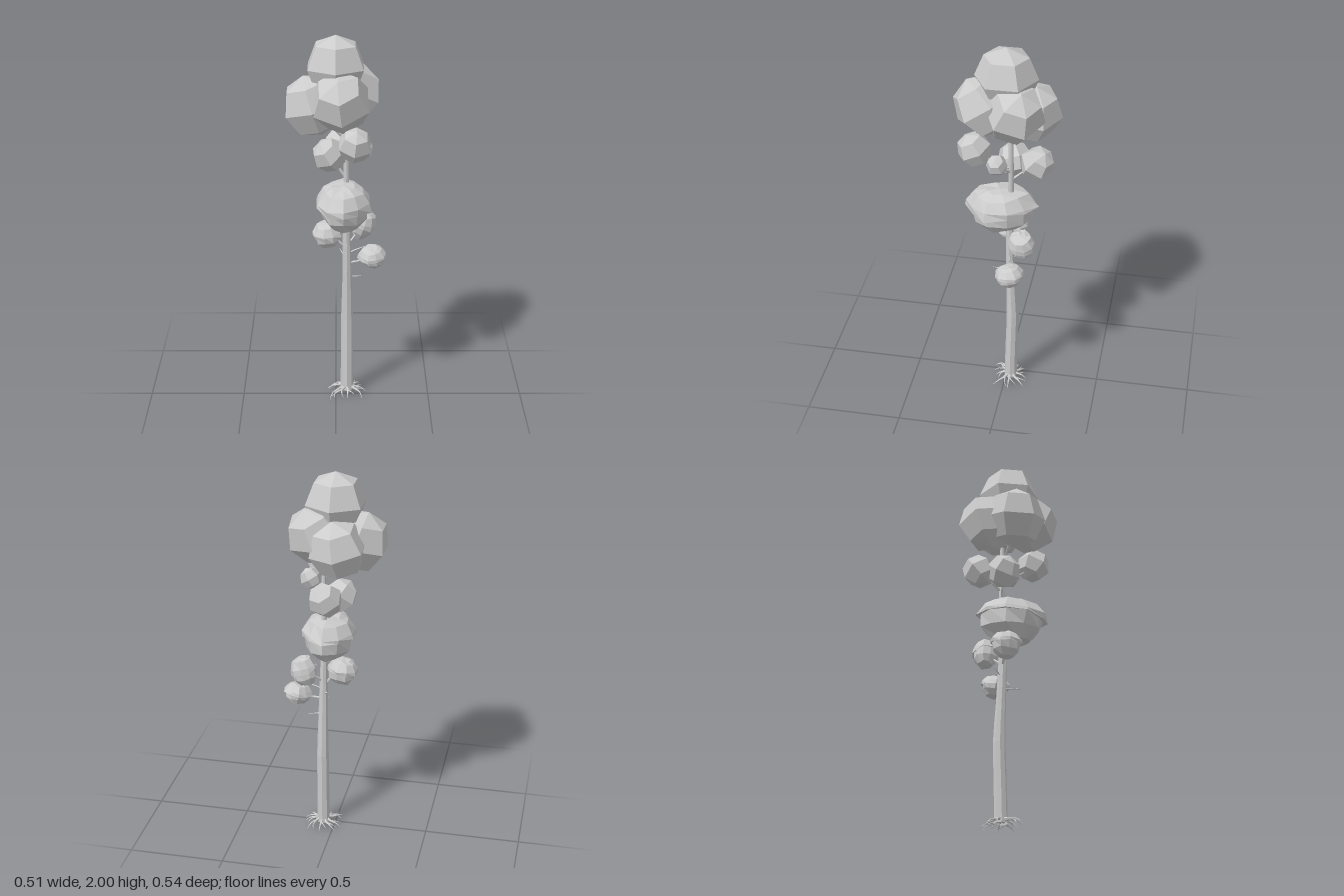
import * as THREE from 'three';

const material = new THREE.MeshStandardMaterial({ color: 0xcccccc, flatShading: true, side: THREE.DoubleSide });
const UP = new THREE.Vector3(0, 1, 0);

function addMesh(group, name, geometry) {
  const mesh = new THREE.Mesh(geometry, material);
  mesh.name = name;
  group.add(mesh);
  return mesh;
}

// Repeatable value from -1 to 1 for a pair of indices
function jitter(a, b, seed) {
  const s = Math.sin(a * 127.1 + b * 311.7 + seed * 74.7) * 43758.5453;
  return (s - Math.floor(s)) * 2 - 1;
}

// Tube along points whose radius follows a list of evenly spaced values
function limb(points, radii, steps, sides) {
  const path = new THREE.CatmullRomCurve3(points.map(p => new THREE.Vector3(...p)));
  const geometry = new THREE.TubeGeometry(path, steps, 1, sides);
  const pos = geometry.attributes.position;
  const v = new THREE.Vector3();
  for (let i = 0; i <= steps; i++) {
    const center = path.getPointAt(i / steps);
    const f = (i / steps) * (radii.length - 1);
    const k = Math.min(Math.floor(f), radii.length - 2);
    const radius = THREE.MathUtils.lerp(radii[k], radii[k + 1], f - k);
    for (let j = 0; j <= sides; j++) {
      const n = i * (sides + 1) + j;
      v.fromBufferAttribute(pos, n).sub(center).multiplyScalar(radius).add(center);
      pos.setXYZ(n, v.x, v.y, v.z);
    }
  }
  return geometry;
}

// Six-sided ball of leaves with its pole tilted
function ball(group, name, center, radius, pole) {
  const mesh = addMesh(group, name, new THREE.SphereGeometry(radius, 6, 4).rotateY(Math.PI / 6));
  mesh.quaternion.setFromUnitVectors(UP, new THREE.Vector3(...pole).normalize());
  mesh.position.set(...center);
}

// Craggy clump: a domed cap overhanging a bowl along a zigzag rim
function clump(group, name, center, size, seed, tilt = [0, 0, 0]) {
  const profile = [[0, -1], [0.5, -0.92], [0.82, -0.45], [0.9, 0.08], [1, 0.02], [0.97, 0.3], [0.72, 0.8], [0.4, 0.96], [0, 1]];
  const sides = 10, rows = profile.length;
  const geometry = new THREE.LatheGeometry(profile.map(p => new THREE.Vector2(...p)), sides);
  const pos = geometry.attributes.position;
  for (let i = 0; i <= sides; i++) {
    const a = i % sides;
    const rim = 0.13 * jitter(a, 40, seed);
    for (let j = 1; j < rows - 1; j++) {
      const n = i * rows + j;
      const s = 1 + 0.07 * jitter(a, 50, seed) + 0.06 * jitter(a, j, seed);
      const lift = j === 3 || j === 4 ? rim : 0.07 * jitter(a, j + 20, seed);
      pos.setXYZ(n, pos.getX(n) * s, pos.getY(n) + lift, pos.getZ(n) * s);
    }
  }
  geometry.scale(...size);
  const mesh = addMesh(group, name, geometry);
  mesh.rotation.set(...tilt);
  mesh.position.set(...center);
}

export function createModel() {
  const tree = new THREE.Group();
  tree.name = 'tree';

  // Trunk, slightly crooked and narrowing upwards
  addMesh(tree, 'trunk', limb([
    [0.06, 0.02, -0.028], [0.06, 0.25, -0.033], [0.06, 0.45, -0.038], [0.06, 0.65, -0.03],
    [0.057, 0.9, -0.022], [0.053, 1.15, -0.026], [0.055, 1.4, -0.028], [0.05, 1.7, -0.02],
  ], [0.034, 0.033, 0.032, 0.026, 0.022, 0.017, 0.014, 0.012, 0.01], 16, 8));

  // Roots spread around the foot, each with a side shoot
  const roots = new THREE.Group();
  roots.name = 'roots';
  tree.add(roots);
  for (let i = 0; i < 9; i++) {
    const angle = (i / 9) * Math.PI * 2 + 0.25 * jitter(i, 1, 3);
    const reach = 0.08 + 0.025 * jitter(i, 2, 3) + 0.035 * Math.abs(Math.cos(angle));
    const at = (d, y, turn) => [0.06 + Math.cos(angle + turn) * d, y, -0.025 + Math.sin(angle + turn) * d];
    const turn = 0.3 * jitter(i, 5, 3);
    addMesh(roots, 'root', limb([at(0.01, 0.045, 0), at(0.045, 0.033, 0), at(reach * 0.75, 0.026, turn * 0.5), at(reach, 0.004, turn)],
      [0.011, 0.007, 0.004, 0.001], 6, 5));
    addMesh(roots, 'rootShoot', limb([at(0.045, 0.032, 0), at(reach * 0.75, 0.028, -0.3), at(reach * 0.9, 0.016, -0.45)],
      [0.005, 0.003, 0.001], 4, 4));
  }

  // Bare twigs and the branches carrying foliage
  const twigs = [
    [[0.06, 0.69, -0.03], [0.09, 0.684, -0.04], [0.135, 0.684, -0.05]],
    [[0.06, 0.735, -0.025], [0.055, 0.737, 0.02], [0.05, 0.735, 0.07]],
    [[0.06, 0.82, -0.025], [0.1, 0.84, -0.03], [0.165, 0.862, -0.04]],
    [[0.06, 0.8, -0.025], [0.035, 0.815, -0.05], [0.02, 0.835, -0.07]],
  ];
  const branches = [
    [[0.06, 0.77, -0.025], [0.11, 0.775, -0.03], [0.19, 0.8, -0.045]],
    [[0.058, 0.87, -0.025], [0.09, 0.9, -0.05], [0.14, 0.96, -0.1]],
    [[0.058, 0.85, -0.025], [0.02, 0.89, -0.022], [-0.04, 0.94, -0.02]],
    [[0.055, 0.95, -0.025], [0.05, 1.0, 0.01], [0.04, 1.1, 0.06]],
    [[0.055, 1.24, -0.027], [0.02, 1.29, -0.03], [-0.03, 1.36, -0.03]],
    [[0.055, 1.29, -0.027], [0.04, 1.33, -0.08], [0.02, 1.38, -0.15]],
    [[0.055, 1.34, -0.027], [0.09, 1.37, 0], [0.135, 1.42, 0.03]],
    [[0.055, 1.36, -0.027], [0.07, 1.4, 0.06], [0.095, 1.47, 0.15]],
    [[0.052, 1.45, -0.025], [-0.02, 1.53, 0], [-0.11, 1.64, 0.02]],
  ];
  twigs.forEach(p => addMesh(tree, 'twig', limb(p, [0.006, 0.004, 0.001], 5, 4)));
  branches.forEach(p => addMesh(tree, 'branch', limb(p, [0.008, 0.006, 0.004], 5, 5)));

  // Craggy lower foliage
  clump(tree, 'largeClump', [0.04, 1.11, 0.028], [0.138, 0.115, 0.187], 2, [0.06, 0, 0]);
  clump(tree, 'rightClump', [-0.042, 0.937, -0.015], [0.085, 0.068, 0.085], 5, [0, 0.4, 0.12]);
  clump(tree, 'leftClump', [0.142, 0.958, -0.1], [0.07, 0.077, 0.075], 8, [0.1, 0, -0.3]);
  clump(tree, 'lowestClump', [0.193, 0.798, -0.045], [0.074, 0.055, 0.076], 11, [0.15, 0.3, 0.1]);

  // Small leaf balls in the middle
  ball(tree, 'smallLeafBall', [0.095, 1.478, 0.15], 0.09, [0.1, 0.85, 0.4]);
  ball(tree, 'smallLeafBall', [-0.033, 1.366, -0.03], 0.09, [-0.5, 0.75, 0.3]);
  ball(tree, 'smallLeafBall', [0.02, 1.383, -0.153], 0.09, [0.3, 0.8, -0.5]);
  ball(tree, 'smallLeafBall', [0.135, 1.42, 0.03], 0.056, [0.5, 0.8, 0.1]);

  // Crown of large leaf balls
  ball(tree, 'crownTop', [0, 1.84, 0.005], 0.16, [0, 1, 0]);
  ball(tree, 'crownFront', [0.025, 1.688, 0.115], 0.157, [-0.1, 0.8, 0.55]);
  ball(tree, 'crownRight', [-0.115, 1.645, 0.02], 0.16, [-0.3, 0.95, 0]);
  ball(tree, 'crownLeft', [0.082, 1.69, -0.05], 0.156, [0.37, 0.89, -0.27]);
  ball(tree, 'crownBack', [-0.035, 1.645, -0.12], 0.152, [0.15, 0.97, -0.15]);

  return tree;
}
